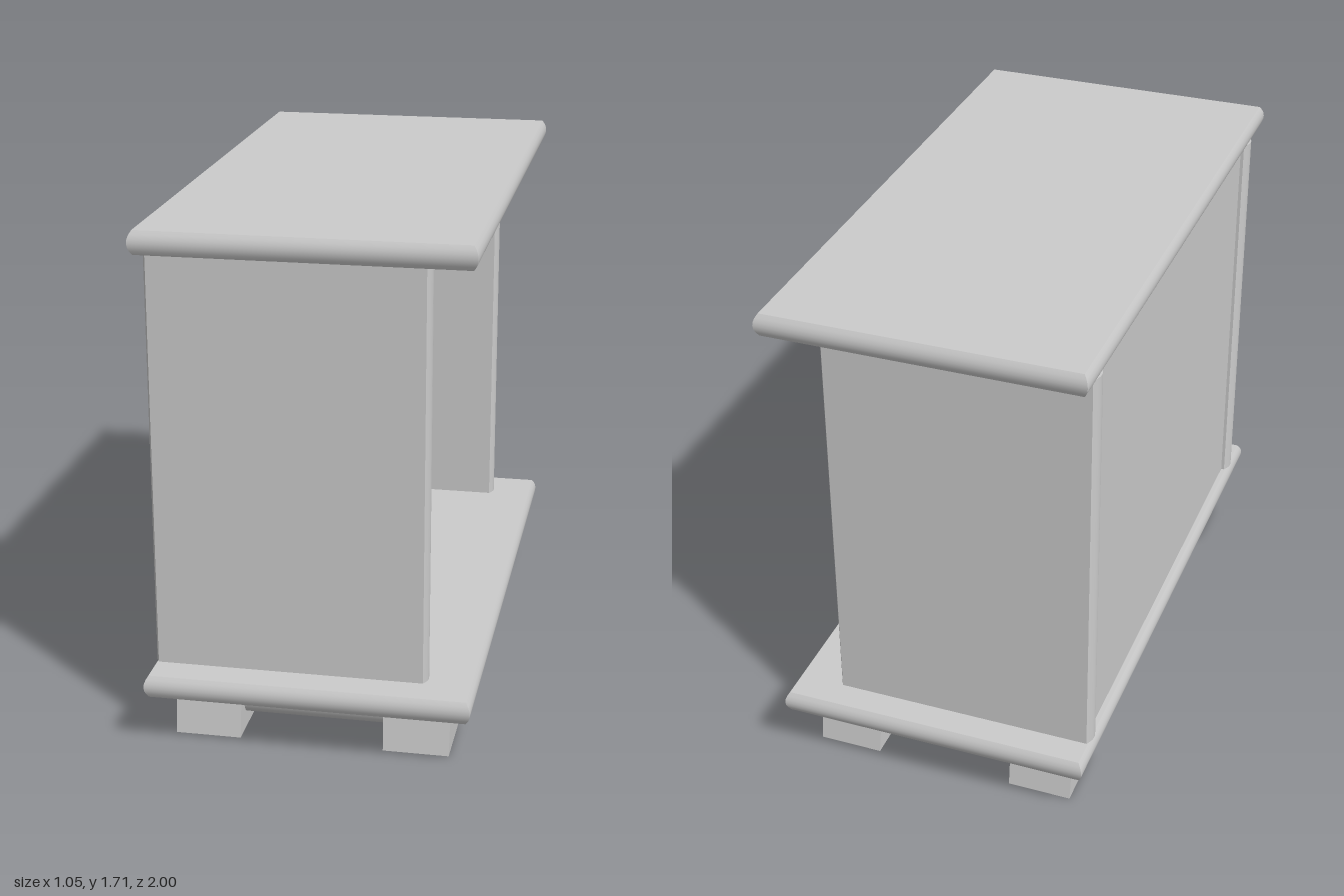
import * as THREE from 'three';
import { toCreasedNormals } from 'three/addons/utils/BufferGeometryUtils.js';

const material = new THREE.MeshStandardMaterial({ color: 0xcccccc });
const HALF_X = 0.525, BULGE = 0.014;

function add(group, name, geometry, x = 0, y = 0, z = 0) {
  const mesh = new THREE.Mesh(geometry, material);
  mesh.name = name;
  mesh.position.set(x, y, z);
  group.add(mesh);
  return mesh;
}

// Solid through stacked rectangles, bottom to top: [y, x0, x1, z0, z1]
function loft(rings) {
  const pos = [], index = [];
  for (const [y, x0, x1, z0, z1] of rings) {
    pos.push(x0, y, z1, x1, y, z1, x1, y, z0, x0, y, z0);
  }
  for (let r = 0; r < rings.length - 1; r++) {
    for (let i = 0; i < 4; i++) {
      const a = r * 4 + i, b = r * 4 + (i + 1) % 4;
      index.push(a, b, b + 4, a, b + 4, a + 4);
    }
  }
  const t = (rings.length - 1) * 4;
  index.push(0, 2, 1, 0, 3, 2, t, t + 1, t + 2, t, t + 2, t + 3);
  const g = new THREE.BufferGeometry();
  g.setAttribute('position', new THREE.Float32BufferAttribute(pos, 3));
  g.setIndex(index);
  return toCreasedNormals(g, 0.5);
}

// Board with softly bulging edges and mitred corners
function board(y0, y1) {
  const rings = [], steps = 6;
  for (let i = 0; i <= steps; i++) {
    const u = 2 * i / steps - 1, inset = BULGE * u * u;
    const x = HALF_X - inset, z = 1 - inset;
    rings.push([y0 + (y1 - y0) * i / steps, -x, x, -z, z]);
  }
  return loft(rings);
}

// Upright panel whose two narrow edges bulge
function sidePanel(x0, x1, thickness, height) {
  const h = thickness / 2, b = BULGE;
  const s = new THREE.Shape();
  s.moveTo(x0 + b, -h);
  s.lineTo(x1 - b, -h);
  s.quadraticCurveTo(x1 + b, 0, x1 - b, h);
  s.lineTo(x0 + b, h);
  s.quadraticCurveTo(x0 - b, 0, x0 + b, -h);
  const g = new THREE.ExtrudeGeometry(s, { depth: height, bevelEnabled: false, curveSegments: 6 });
  g.rotateX(-Math.PI / 2);
  return toCreasedNormals(g, 0.5);
}

export function createModel() {
  const model = new THREE.Group();
  model.name = 'openCabinet';

  // Top and bottom boards
  add(model, 'bottomBoard', board(0.175, 0.25));
  add(model, 'topBoard', board(1.632, 1.708));

  // Side panels and recessed back panel
  const panel = sidePanel(-0.52, 0.373, 0.08, 1.382);
  add(model, 'frontSidePanel', panel, 0, 0.25, 0.842);
  add(model, 'rearSidePanel', panel, 0, 0.25, -0.852);
  add(model, 'backPanel', new THREE.BoxGeometry(0.02, 1.382, 1.616), -0.485, 0.941, -0.005);

  // Splayed feet, joined in pairs by a round bar
  const ends = [
    ['front', 0.665, 0.882, 0.635, 0.86],
    ['rear', -0.9, -0.682, -0.872, -0.647],
  ];
  for (const [end, b0, b1, t0, t1] of ends) {
    for (const [side, m] of [['Left', 1], ['Right', -1]]) {
      const off = m > 0 ? 0 : -0.008;
      const cx = m * 0.338 + off;
      add(model, end + side + 'Foot', loft([
        [0, cx - 0.107, cx + 0.107, b0, b1],
        [0.176, cx - 0.109, cx + 0.109, t0, t1],
      ]));
    }
    const bar = new THREE.CylinderGeometry(0.07, 0.07, 0.5, 32);
    bar.rotateZ(Math.PI / 2);
    add(model, end + 'Bar', bar, 0, 0.115, (b0 + b1 + t0 + t1) / 4);
  }
  return model;
}
